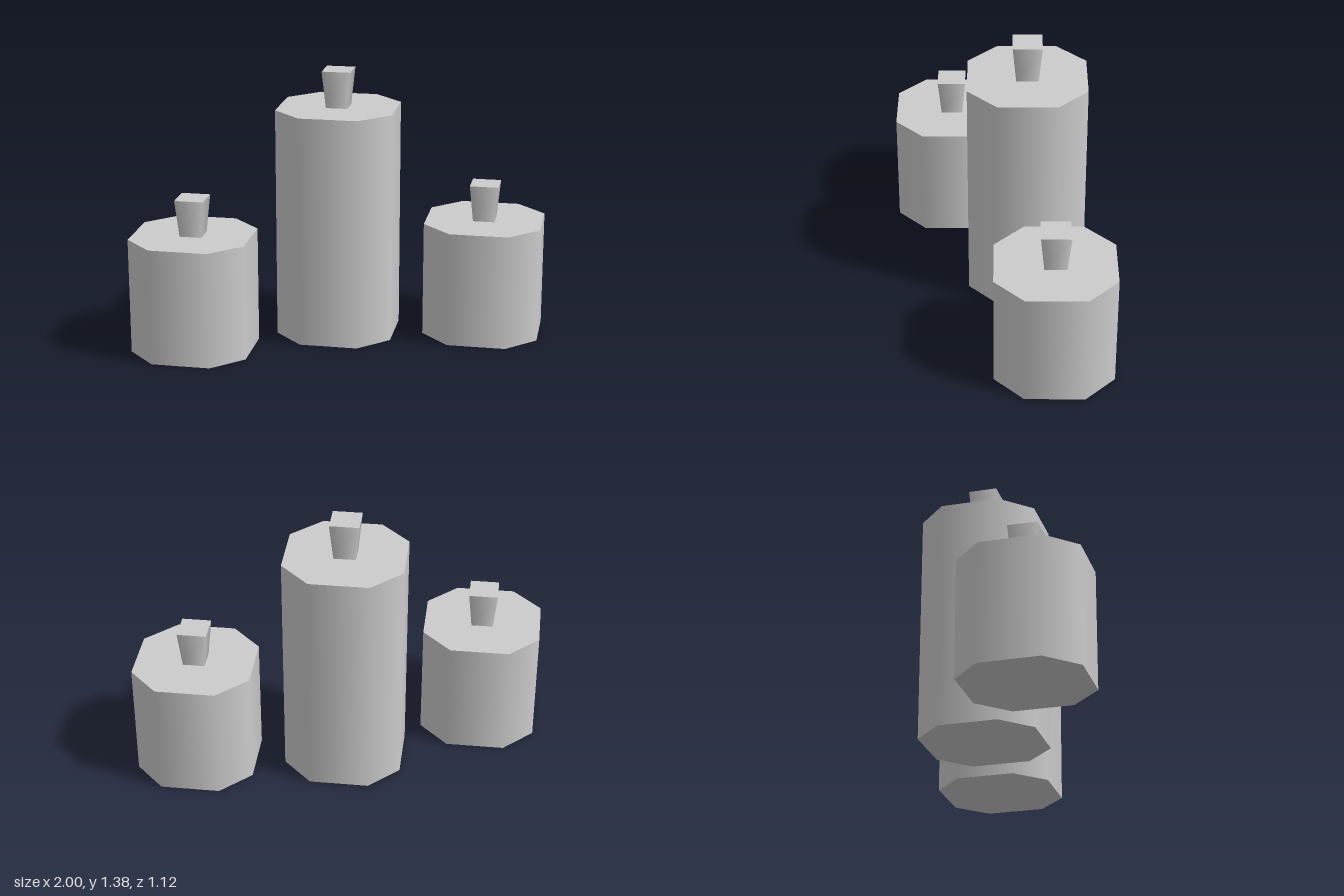
import * as THREE from 'three';

const HALF = 0.296;          // half width of a candle body
const CORNER = HALF / 2;     // half length of its straight sides
const WICK_HEIGHT = 0.19;

// Eight-sided body, its corners moved so the diagonal sides are shorter cuts
function bodyGeometry(height) {
  const geometry = new THREE.CylinderGeometry(HALF, HALF, height, 8, 1, false, Math.PI / 8);
  const p = geometry.attributes.position;
  for (let i = 0; i < p.count; i++) {
    const x = p.getX(i), z = p.getZ(i);
    if (Math.hypot(x, z) < 0.01) continue; // cap centre
    const wide = Math.abs(x) > Math.abs(z);
    p.setX(i, Math.sign(x) * (wide ? HALF : CORNER));
    p.setZ(i, Math.sign(z) * (wide ? CORNER : HALF));
  }
  return geometry.translate(0, height / 2, 0);
}

function createCandle(name, x, z, height, material) {
  const candle = new THREE.Group();
  candle.name = name;
  candle.position.set(x, 0, z);

  const body = new THREE.Mesh(bodyGeometry(height), material);
  body.name = 'waxBody';

  // Square wick, widening upward
  const wick = new THREE.Mesh(
    new THREE.CylinderGeometry(0.073 * Math.SQRT2, 0.055 * Math.SQRT2, WICK_HEIGHT, 4, 1, false, Math.PI / 4),
    material
  );
  wick.name = 'wick';
  wick.position.y = height + WICK_HEIGHT / 2;

  candle.add(body, wick);
  return candle;
}

export function createModel() {
  const material = new THREE.MeshStandardMaterial({ color: 0xcccccc });
  const model = new THREE.Group();
  model.name = 'candles';
  model.add(
    createCandle('rightCandle', -0.704, 0.263, 0.594, material),
    createCandle('middleCandle', -0.037, -0.132, 1.188, material),
    createCandle('leftCandle', 0.704, -0.263, 0.594, material)
  );
  return model;
}
